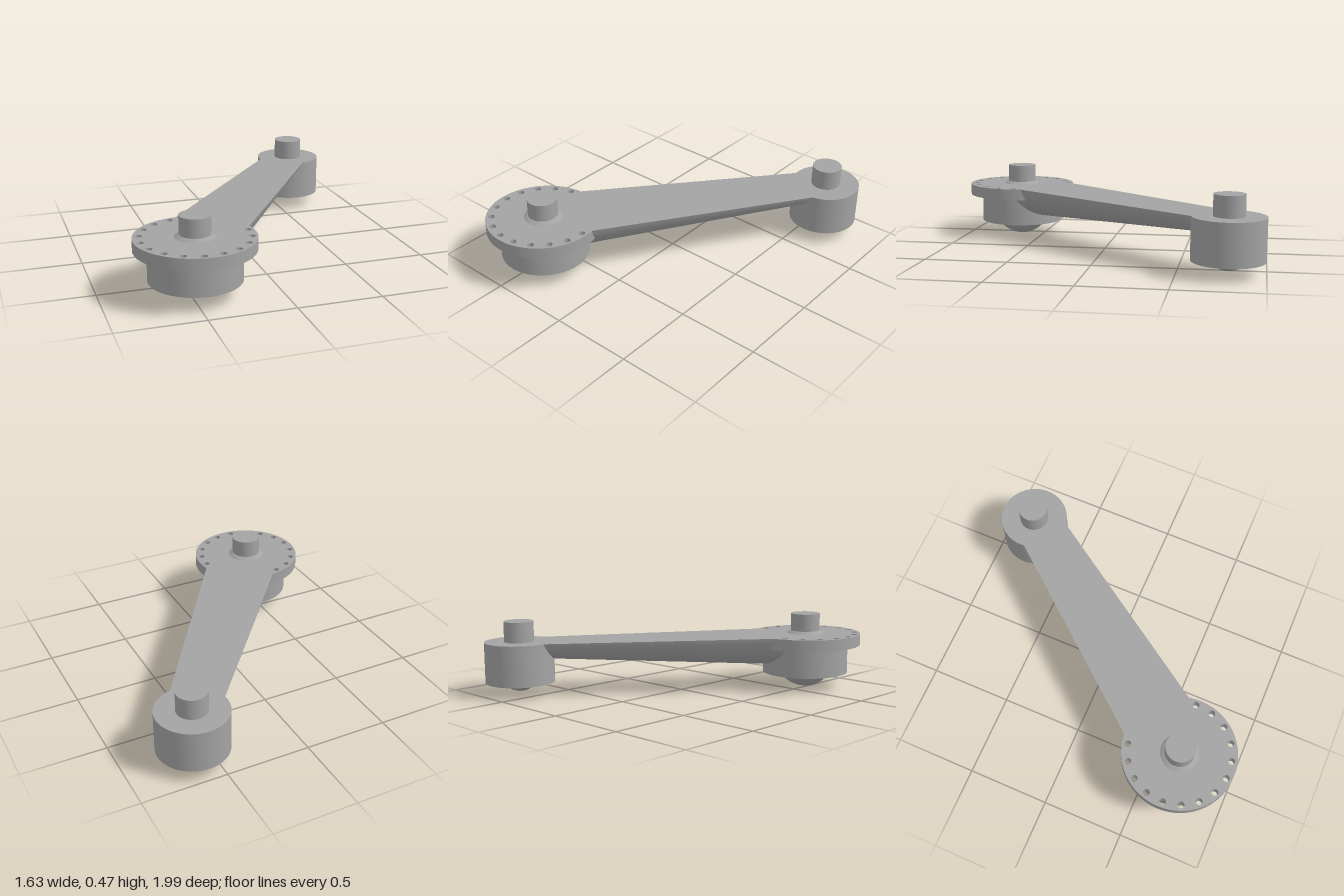
import * as THREE from 'three';
import { toCreasedNormals } from 'three/addons/utils/BufferGeometryUtils.js';

const TOP = 0.342;        // shared flat top of flange, arm and small hub
const HUB_BOTTOM = 0.093;
const FLANGE = 0.07;      // flange thickness
const LENGTH = 1.797;     // distance between the two hub axes

export function createModel() {
  const steel = new THREE.MeshStandardMaterial({ color: 0xa3a3a3 });
  steel.name = 'steelGrey';

  const model = new THREE.Group();
  model.name = 'linkArm';

  function add(name, geometry, x = 0, y = 0) {
    const mesh = new THREE.Mesh(geometry, steel);
    mesh.name = name;
    mesh.position.set(x, y, 0);
    model.add(mesh);
  }

  // Hub with an open socket underneath, a ball in the socket and a stud on top
  function joint(name, x, radius, top, socket, ballRadius, ballBottom) {
    const profile = [
      [0, 0.2], [socket, 0.2], [socket, HUB_BOTTOM],
      [radius, HUB_BOTTOM], [radius, top], [0, top],
    ].map(([r, y]) => new THREE.Vector2(r, y));
    add(name + 'Hub', toCreasedNormals(new THREE.LatheGeometry(profile, 64), 0.6), x);
    add(name + 'Ball', new THREE.SphereGeometry(ballRadius, 40, 24), x, ballBottom + ballRadius);
    add(name + 'Stud', new THREE.CylinderGeometry(0.09, 0.09, 0.166, 40), x, 0.383);
  }
  joint('large', 0, 0.267, TOP - FLANGE + 0.01, 0.21, 0.19, 0.001);
  joint('small', LENGTH, 0.21, TOP, 0.148, 0.13, 0.037);

  // Flange with holes on a 20 degree pitch, leaving out those under the arm
  const disc = new THREE.Shape().absarc(0, 0, 0.344, 0, Math.PI * 2);
  for (let i = 0; i < 14; i++) {
    const a = THREE.MathUtils.degToRad(50 + i * 20);
    const hole = new THREE.Path();
    hole.absarc(0.309 * Math.cos(a), 0.309 * Math.sin(a), 0.02, 0, Math.PI * 2, true);
    disc.holes.push(hole);
  }
  const flange = new THREE.ExtrudeGeometry(disc, { depth: FLANGE, bevelEnabled: false, curveSegments: 40 });
  flange.rotateX(-Math.PI / 2);
  add('flange', toCreasedNormals(flange, 0.6), 0, TOP - FLANGE);

  // Tapered arm: flat top over a circular belly, cut off above height cut
  function loftArm(s0, s1, cut) {
    const n = 32;
    const position = [];
    const index = [];
    for (const s of [s0, s1]) {
      const w = 0.238 - 0.0514 * s;
      const depth = 0.206 - 0.0595 * s;
      const R = (w * w + depth * depth) / (2 * depth);
      const centre = TOP - depth + R;
      const half = Math.acos((centre - cut) / R);
      for (let j = 0; j <= n; j++) {
        const a = -half + (2 * half * j) / n;
        position.push(s, centre - R * Math.cos(a), R * Math.sin(a));
      }
    }
    const m = n + 1;
    for (let j = 0; j < m; j++) {
      const k = (j + 1) % m;
      index.push(j, m + j, k, k, m + j, m + k);
    }
    const geometry = new THREE.BufferGeometry();
    geometry.setAttribute('position', new THREE.Float32BufferAttribute(position, 3));
    geometry.setIndex(index);
    return toCreasedNormals(geometry, 0.6);
  }
  add('arm', loftArm(0.24, 1.67, TOP));
  // Arm belly carried on below the flange into the large hub
  add('armRoot', loftArm(0.1, 0.25, TOP - FLANGE + 0.006));

  // Swing the arm to its diagonal pose, with a very slight downward tilt
  model.rotation.set(0, 0.9295, -0.007);
  model.position.set(-0.47, 0, 0.652);

  const root = new THREE.Group();
  root.name = 'linkArmAssembly';
  root.add(model);
  return root;
}
